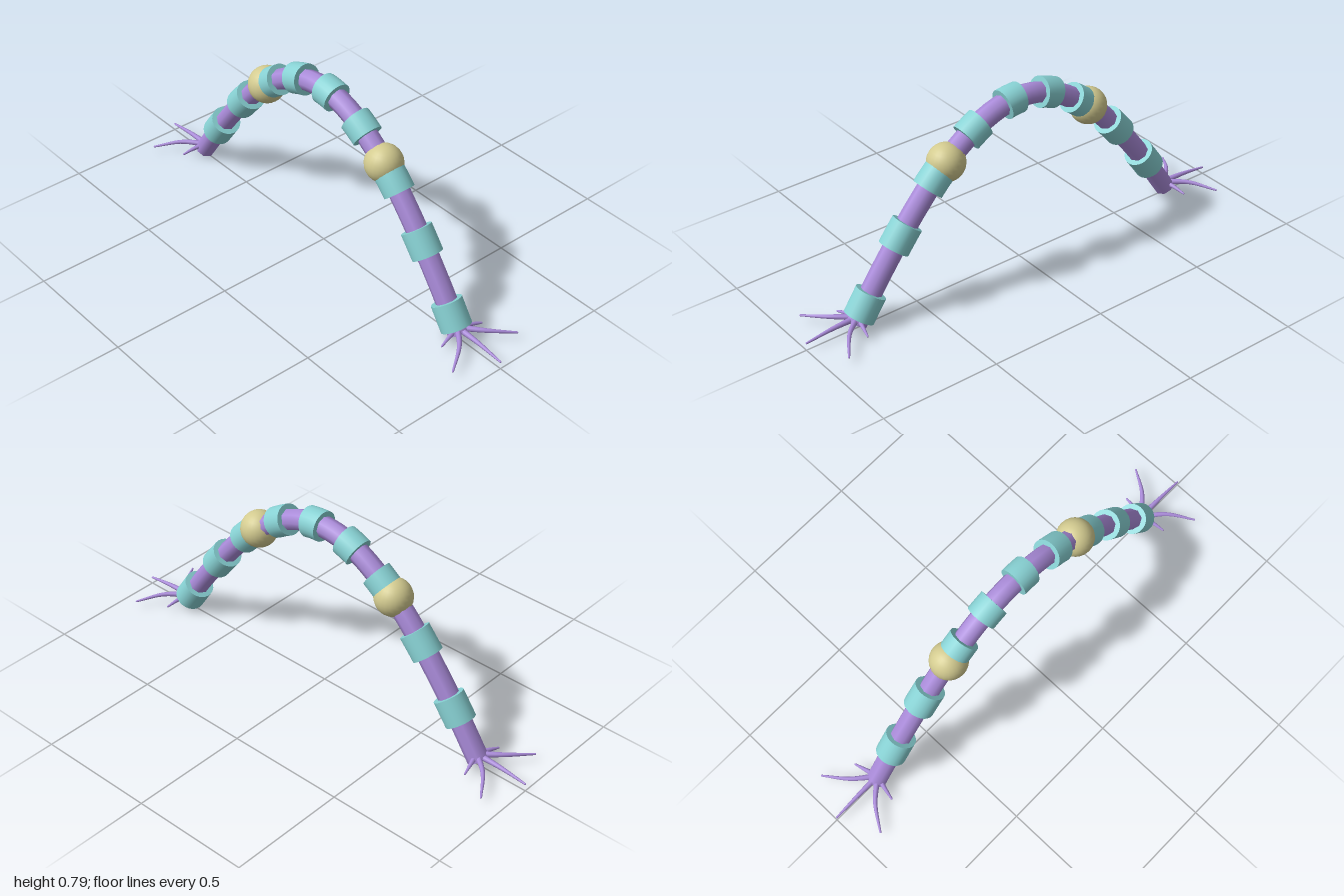
import * as THREE from 'three';

const purple = new THREE.MeshStandardMaterial({ color: 0xab8cdb });
purple.name = 'purple';
const teal = new THREE.MeshStandardMaterial({ color: 0x88d2d4 });
teal.name = 'teal';
const khaki = new THREE.MeshStandardMaterial({ color: 0xd3cb90 });
khaki.name = 'khaki';

// Arch centre line, mirrored about x = 0
const half = [[0.778, 0.027], [0.655, 0.207], [0.484, 0.427], [0.345, 0.57], [0.15, 0.697]];
const arch = new THREE.CatmullRomCurve3([
  ...half.map(([x, y]) => new THREE.Vector3(-x, y, 0)),
  new THREE.Vector3(0, 0.728, 0),
  ...half.slice().reverse().map(([x, y]) => new THREE.Vector3(x, y, 0)),
]);
const archLength = arch.getLength();

// Fraction along the arch at a given x
function uAtX(x) {
  let lo = 0, hi = 1;
  for (let i = 0; i < 30; i++) {
    const mid = (lo + hi) / 2;
    if (arch.getPointAt(mid).x < x) lo = mid; else hi = mid;
  }
  return (lo + hi) / 2;
}

// Capped cylinder bent along the arch between two fractions
function bentCylinder(u0, u1, radius, sides, steps) {
  const geo = new THREE.CylinderGeometry(radius, radius, 1, sides, steps);
  const pos = geo.attributes.position, nor = geo.attributes.normal;
  const v = new THREE.Vector3(), n = new THREE.Vector3(), basis = new THREE.Matrix4();
  for (let i = 0; i < pos.count; i++) {
    v.fromBufferAttribute(pos, i);
    n.fromBufferAttribute(nor, i);
    const u = THREE.MathUtils.clamp(u0 + (v.y + 0.5) * (u1 - u0), 0, 1);
    const t = arch.getTangentAt(u);
    basis.makeBasis(new THREE.Vector3(t.y, -t.x, 0), t, new THREE.Vector3(0, 0, 1));
    v.setY(0).applyMatrix4(basis).add(arch.getPointAt(u));
    n.applyMatrix4(basis);
    pos.setXYZ(i, v.x, v.y, v.z);
    nor.setXYZ(i, n.x, n.y, n.z);
  }
  return geo;
}

// Tapered root: a tube narrowed towards its tip
function rootGeometry(points, r0, r1) {
  const curve = new THREE.CatmullRomCurve3(points.map((p) => new THREE.Vector3(...p)));
  const steps = 10, sides = 8;
  const geo = new THREE.TubeGeometry(curve, steps, 1, sides);
  const pos = geo.attributes.position, v = new THREE.Vector3();
  for (let i = 0; i < pos.count; i++) {
    const k = Math.floor(i / (sides + 1)) / steps;
    const c = curve.getPointAt(k);
    v.fromBufferAttribute(pos, i).sub(c).multiplyScalar(r0 + (r1 - r0) * k).add(c);
    pos.setXYZ(i, v.x, v.y, v.z);
  }
  return { geo, tip: curve.getPointAt(1) };
}

export function createModel() {
  const model = new THREE.Group();
  model.name = 'jointedArch';
  const add = (parent, name, geo, mat) => {
    const mesh = new THREE.Mesh(geo, mat);
    mesh.name = name;
    parent.add(mesh);
    return mesh;
  };

  // Main stem
  add(model, 'stem', bentCylinder(0, 1, 0.043, 8, 64), purple);

  // Bands: centre x and length along the stem
  const bands = [
    [-0.655, 0.108], [-0.484, 0.104], [-0.295, 0.088], [-0.135, 0.076], [0.04, 0.074],
    [0.217, 0.082], [0.4, 0.096], [0.563, 0.108], [0.735, 0.108],
  ];
  for (const [x, length] of bands) {
    const u = uAtX(x), d = length / 2 / archLength;
    add(model, 'band', bentCylinder(u - d, u + d, 0.062, 24, 4), teal);
  }

  // Round joints
  for (const side of [-1, 1]) {
    const joint = add(model, side < 0 ? 'rightJoint' : 'leftJoint',
      new THREE.SphereGeometry(0.076, 24, 16), khaki);
    joint.position.set(side * 0.345, 0.57, 0);
  }

  // Roots fanning out from each foot
  const roots = [
    [[0.77, 0.05, 0], [0.88, 0.047, 0], [0.997, 0.034, 0]],
    [[0.77, 0.05, 0], [0.853, 0.049, 0.07], [0.92, 0.031, 0.165]],
    [[0.77, 0.05, 0], [0.853, 0.049, -0.07], [0.92, 0.031, -0.165]],
    [[0.77, 0.05, 0], [0.784, 0.045, 0.05], [0.795, 0.031, 0.102]],
    [[0.77, 0.05, 0], [0.784, 0.045, -0.05], [0.795, 0.031, -0.102]],
  ];
  for (const side of [-1, 1]) {
    const foot = new THREE.Group();
    foot.name = side < 0 ? 'rightRoots' : 'leftRoots';
    for (const points of roots) {
      const { geo, tip } = rootGeometry(points.map(([x, y, z]) => [side * x, y, z]), 0.013, 0.004);
      add(foot, 'root', geo, purple);
      add(foot, 'rootTip', new THREE.SphereGeometry(0.004, 8, 6), purple).position.copy(tip);
    }
    model.add(foot);
  }
  return model;
}
